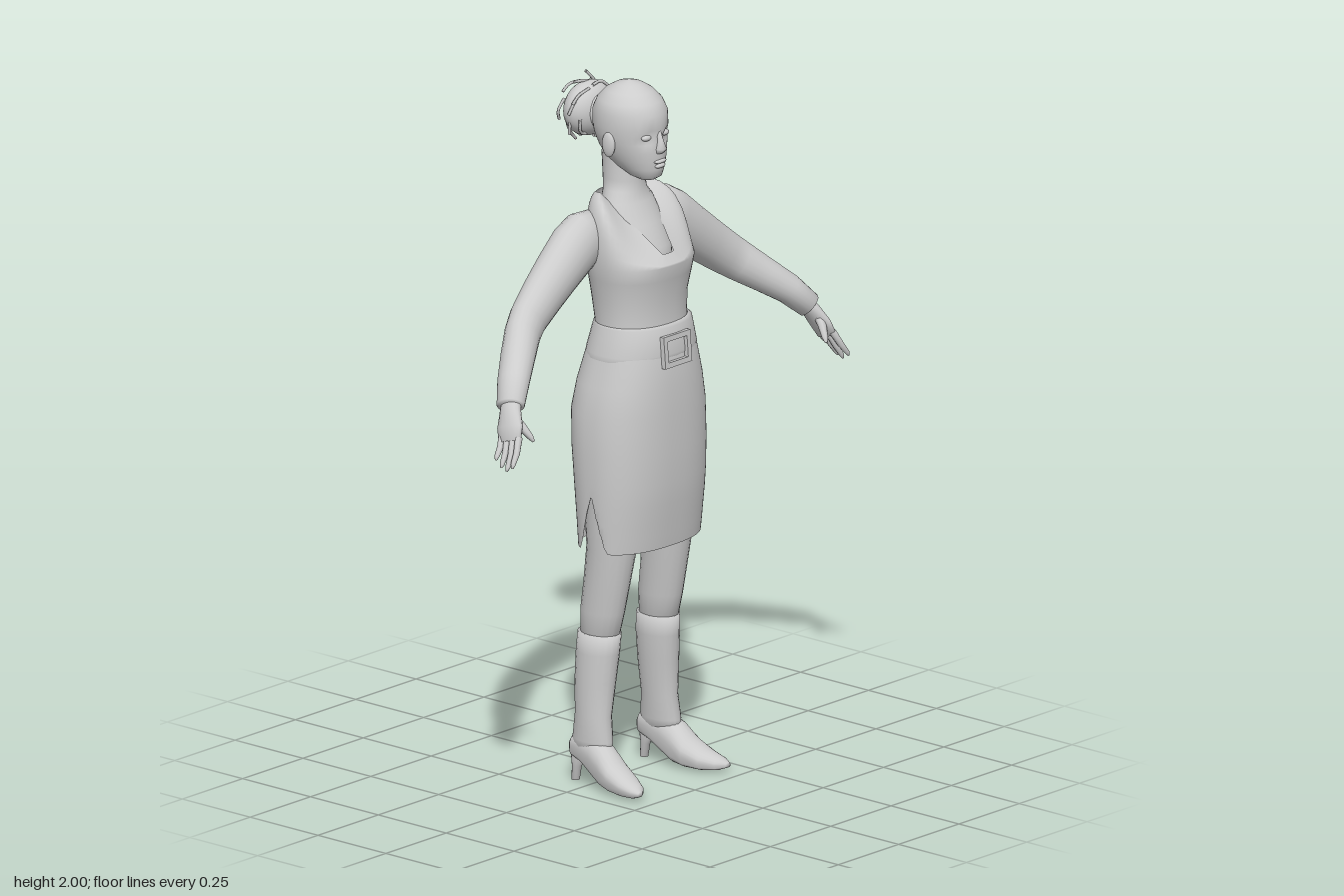
import * as THREE from 'three';

const V = (x, y, z) => new THREE.Vector3(x, y, z);
const grey = new THREE.MeshStandardMaterial({ color: 0xcccccc, side: THREE.DoubleSide });
grey.name = 'plain grey';

// Skin a list of rings (each counter-clockwise about the direction of travel)
function loft(rings, capStart = false, capEnd = false) {
  const n = rings[0].length, m = rings.length, pos = [], idx = [];
  rings.forEach(r => r.forEach(p => pos.push(p.x, p.y, p.z)));
  for (let i = 0; i < m - 1; i++) for (let j = 0; j < n; j++) {
    const k = (j + 1) % n, a = i * n + j, b = i * n + k;
    idx.push(a, b, b + n, a, b + n, a + n);
  }
  const cap = (r, base, flip) => {
    const c = r.reduce((s, p) => s.add(p), V(0, 0, 0)).divideScalar(n);
    const ci = pos.push(c.x, c.y, c.z) / 3 - 1;
    for (let j = 0; j < n; j++) {
      const a = base + j, b = base + (j + 1) % n;
      flip ? idx.push(ci, b, a) : idx.push(ci, a, b);
    }
  };
  if (capStart) cap(rings[0], 0, true);
  if (capEnd) cap(rings[m - 1], (m - 1) * n, false);
  const g = new THREE.BufferGeometry();
  g.setAttribute('position', new THREE.Float32BufferAttribute(pos, 3));
  g.setIndex(idx);
  g.computeVertexNormals();
  return g;
}

// Horizontal cross-section: height, half width, back z, front z, centre x
function ring([y, hw, zb, zf, cx = 0], n = 32, p = 2.2) {
  const pow = v => Math.sign(v) * Math.abs(v) ** (2 / p);
  return Array.from({ length: n }, (_, j) => {
    const a = j / n * Math.PI * 2;
    return V(cx + hw * pow(Math.sin(a)), y, (zb + zf) / 2 + (zf - zb) / 2 * pow(Math.cos(a)));
  });
}
const stack = (rows, n, p, c0, c1) => loft(rows.map(r => ring(r, n, p)), c0, c1);

// Limb along a path; rows are x, y, z, radius in the front plane, radius in depth
function limb(rows, n = 16) {
  const c = rows.map(r => V(r[0], r[1], r[2]));
  return loft(rows.map((r, i) => {
    const t = c[Math.min(i + 1, c.length - 1)].clone().sub(c[Math.max(i - 1, 0)]).normalize();
    const u = V(0, 0, 1).cross(t).normalize(), v = t.clone().cross(u);
    return Array.from({ length: n }, (_, j) => {
      const a = j / n * Math.PI * 2;
      return c[i].clone().addScaledVector(u, r[3] * Math.cos(a)).addScaledVector(v, r[4] * Math.sin(a));
    });
  }), true, true);
}

function mirrored(g) {
  const m = g.clone(), ix = m.index.array;
  m.scale(-1, 1, 1);
  for (let i = 0; i < ix.length; i += 3) [ix[i], ix[i + 1]] = [ix[i + 1], ix[i]];
  m.computeVertexNormals();
  return m;
}

const ball = (x, y, z, rx, ry, rz, w = 16, h = 12) =>
  new THREE.SphereGeometry(1, w, h).scale(rx, ry, rz).translate(x, y, z);

export function createModel() {
  const model = new THREE.Group();
  model.name = 'woman';
  const add = (name, g) => {
    const m = new THREE.Mesh(g, grey);
    m.name = name;
    model.add(m);
    return m;
  };
  const pair = (name, g) => { add('left ' + name, g); add('right ' + name, mirrored(g)); };

  // Head, with shallow eye sockets
  const head = stack([
    [1.732, .025, .05, .1], [1.742, .042, .02, .116], [1.765, .058, -.03, .122], [1.79, .072, -.062, .124],
    [1.815, .082, -.08, .124], [1.84, .09, -.09, .122], [1.86, .094, -.096, .119], [1.88, .096, -.099, .123],
    [1.92, .097, -.097, .12], [1.95, .086, -.083, .103], [1.975, .064, -.06, .076], [1.992, .036, -.03, .046],
    [2, .008, 0, .016],
  ], 36, 2, true, true);
  const hp = head.attributes.position;
  for (let i = 0; i < hp.count; i++) {
    const d = Math.hypot((Math.abs(hp.getX(i)) - .037) / .024, (hp.getY(i) - 1.86) / .02);
    if (hp.getZ(i) > .05 && d < 1) hp.setZ(i, hp.getZ(i) - .012 * (1 - d));
  }
  head.computeVertexNormals();
  add('head', head);
  add('nose', loft([ring([1.812, .017, .1, .128], 12, 2), ring([1.826, .016, .1, .143], 12, 2),
    ring([1.85, .009, .1, .132], 12, 2), ring([1.875, .007, .1, .123], 12, 2)], true, true));
  pair('eye', ball(.037, 1.86, .103, .017, .009, .011));
  pair('ear', ball(.094, 1.836, .015, .011, .036, .022));
  add('upper lip', ball(0, 1.789, .122, .024, .006, .009));
  add('lower lip', ball(0, 1.776, .121, .02, .007, .009));

  // Hair bun with loose strands
  add('hair bun', ball(0, 1.89, -.14, .088, .078, .056, 24, 16));
  add('hair band', ball(0, 1.89, -.098, .05, .05, .025));
  const strands = new THREE.Group();
  strands.name = 'loose strands';
  for (let i = 0; i < 18; i++) {
    const a = i / 18 * Math.PI * 2, k = 1 + .14 * Math.sin(i * 2.7), z = -.145 + .035 * Math.sin(i * 1.9);
    const at = (t, r) => V(Math.cos(a + t) * .084 * r, 1.89 + Math.sin(a + t) * .08 * r, z - .012 * t);
    const curve = new THREE.CatmullRomCurve3([at(-.5, .88), at(0, 1), at(.35, 1.06 * k)]);
    const m = new THREE.Mesh(new THREE.TubeGeometry(curve, 6, .0045, 5), grey);
    m.name = 'strand';
    strands.add(m);
  }
  model.add(strands);

  // Neck and chest under the neckline
  add('neck and chest', stack([
    [1.49, .1, -.04, .13], [1.54, .1, -.05, .125], [1.6, .1, -.055, .088], [1.66, .085, -.062, .06],
    [1.69, .063, -.066, .05], [1.72, .057, -.072, .05], [1.79, .055, -.078, .05],
  ], 28, 2));

  // Bodice: plain rings up to the bust, then columns curving to a V neckline
  const N = 48, bust = ring([1.5, .165, -.08, .176], N);
  const rings = [[1.25, .15, -.065, .165], [1.32, .14, -.055, .158], [1.4, .147, -.066, .157], [1.46, .157, -.075, .17]]
    .map(r => ring(r, N));
  rings.push(bust);
  for (let k = 1; k <= 8; k++) rings.push(bust.map((b, j) => {
    const a = j / N * Math.PI * 2, s = Math.sin(a), c = Math.cos(a);
    const f = THREE.MathUtils.clamp((Math.abs(s) - .25) / .75, 0, 1);
    const edge = c > 0 ? V(.09 * s, 1.53 + .16 * f, .152 - .172 * f) : V(.09 * s, 1.69 + .01 * c, -.02 + .05 * c);
    const corner = V(b.x * 1.06, edge.y, b.z);
    const ctrl = b.clone().lerp(edge, .5).lerp(corner, c > 0 ? s ** 4 : 1);
    return new THREE.QuadraticBezierCurve3(b, ctrl, edge).getPoint(k / 8);
  }));
  add('bodice', loft(rings));

  // Belt and open buckle frame
  add('belt', stack([[1.235, .166, -.08, .18], [1.25, .166, -.08, .185], [1.325, .147, -.062, .176],
    [1.33, .14, -.055, .16]], 40));
  const frame = new THREE.Shape([[-.06, -.045], [.05, -.045], [.05, .045], [-.06, .045]].map(p => new THREE.Vector2(...p)));
  frame.holes.push(new THREE.Path([[-.045, -.03], [-.045, .03], [.035, .03], [.035, -.03]].map(p => new THREE.Vector2(...p))));
  add('buckle', new THREE.ExtrudeGeometry(frame, { depth: .014, bevelEnabled: false })
    .rotateX(-.08).translate(0, 1.26, .178));

  // Pencil skirt with a slit at each side
  const skirtRings = [
    [.69, .198, -.076, .167], [.73, .2, -.079, .172], [.77, .202, -.082, .176], [.82, .204, -.087, .182],
    [.88, .206, -.093, .187], [.97, .207, -.102, .19], [1.08, .203, -.108, .19], [1.16, .186, -.097, .188],
    [1.25, .16, -.076, .181], [1.32, .142, -.056, .165],
  ].map(r => ring(r, 72, 2.4));
  for (const r of skirtRings) for (const p of r) {
    const d = Math.abs(p.z - .045) / .045;
    if (Math.abs(p.x) > .1 && d < 1) p.y = Math.max(p.y, .69 + .17 * (1 - d));
  }
  add('skirt', loft(skirtRings));

  // Legs
  pair('leg', stack([[.4, .045, -.05, .06, .122], [.5, .052, -.052, .085, .12], [.58, .057, -.04, .1, .118],
    [.69, .065, -.028, .12, .115], [.85, .08, -.04, .14, .108], [1, .09, -.06, .15, .1]], 20, 2, true, true));

  // Boots: shaft, foot lofted heel to toe, and a narrow heel
  pair('boot shaft', stack([
    [.09, .034, -.07, .06, .142], [.13, .04, -.068, .066, .141], [.2, .042, -.06, .055, .137],
    [.3, .05, -.064, .062, .13], [.38, .053, -.064, .069, .124], [.437, .053, -.06, .073, .121],
  ], 20, 2, true, true));
  pair('boot foot', loft([
    [-.078, .14, .014, .085, .115], [-.06, .14, .032, .07, .14], [-.02, .141, .037, .055, .15],
    [.02, .145, .041, .03, .145], [.06, .149, .046, .008, .125], [.1, .154, .049, .003, .085],
    [.15, .163, .043, .002, .056], [.19, .174, .029, .006, .04], [.21, .182, .01, .014, .028],
  ].map(([z, cx, hw, y0, y1]) => Array.from({ length: 20 }, (_, j) => {
    const a = j / 20 * Math.PI * 2, s = Math.sin(a);
    return V(cx + hw * Math.cos(a), (y0 + y1) / 2 + (y1 - y0) / 2 * (s < 0 ? -Math.sqrt(-s) : s), z);
  })), true, true));
  pair('boot heel', stack([[0, .012, -.075, -.052, .142], [.04, .014, -.073, -.045, .142],
    [.1, .028, -.076, -.015, .141]], 12, 2, true, true));

  // Sleeved arms
  pair('sleeve', limb([
    [.1, 1.59, -.02, .06, .05], [.16, 1.573, -.021, .082, .062], [.2, 1.552, -.021, .08, .066], [.27, 1.502, -.018, .073, .062],
    [.34, 1.452, -.012, .067, .056], [.41, 1.402, -.002, .061, .049], [.45, 1.372, .014, .057, .048],
    [.51, 1.326, .05, .049, .048], [.57, 1.279, .088, .042, .046], [.618, 1.228, .12, .036, .04],
  ], 20));

  // Hands
  pair('palm', limb([[.6, 1.245, .108, .024, .028], [.622, 1.215, .123, .022, .032],
    [.643, 1.175, .14, .018, .042], [.657, 1.14, .152, .013, .038]]));
  for (let i = 0; i < 4; i++) {
    const z = .187 - i * .02, drop = [.012, 0, .006, .024][i];
    pair('finger', limb([[.65, 1.155, z - .008, .011, .01], [.672, 1.11 + drop / 2, z + .003, .0095, .009],
      [.692, 1.078 + drop, z + .008, .007, .007], [.697, 1.068 + drop, z + .009, .003, .003]], 8));
  }
  pair('thumb', limb([[.632, 1.205, .138, .015, .015], [.622, 1.178, .165, .013, .012],
    [.611, 1.15, .186, .009, .009], [.606, 1.137, .195, .004, .004]], 8));

  return model;
}
